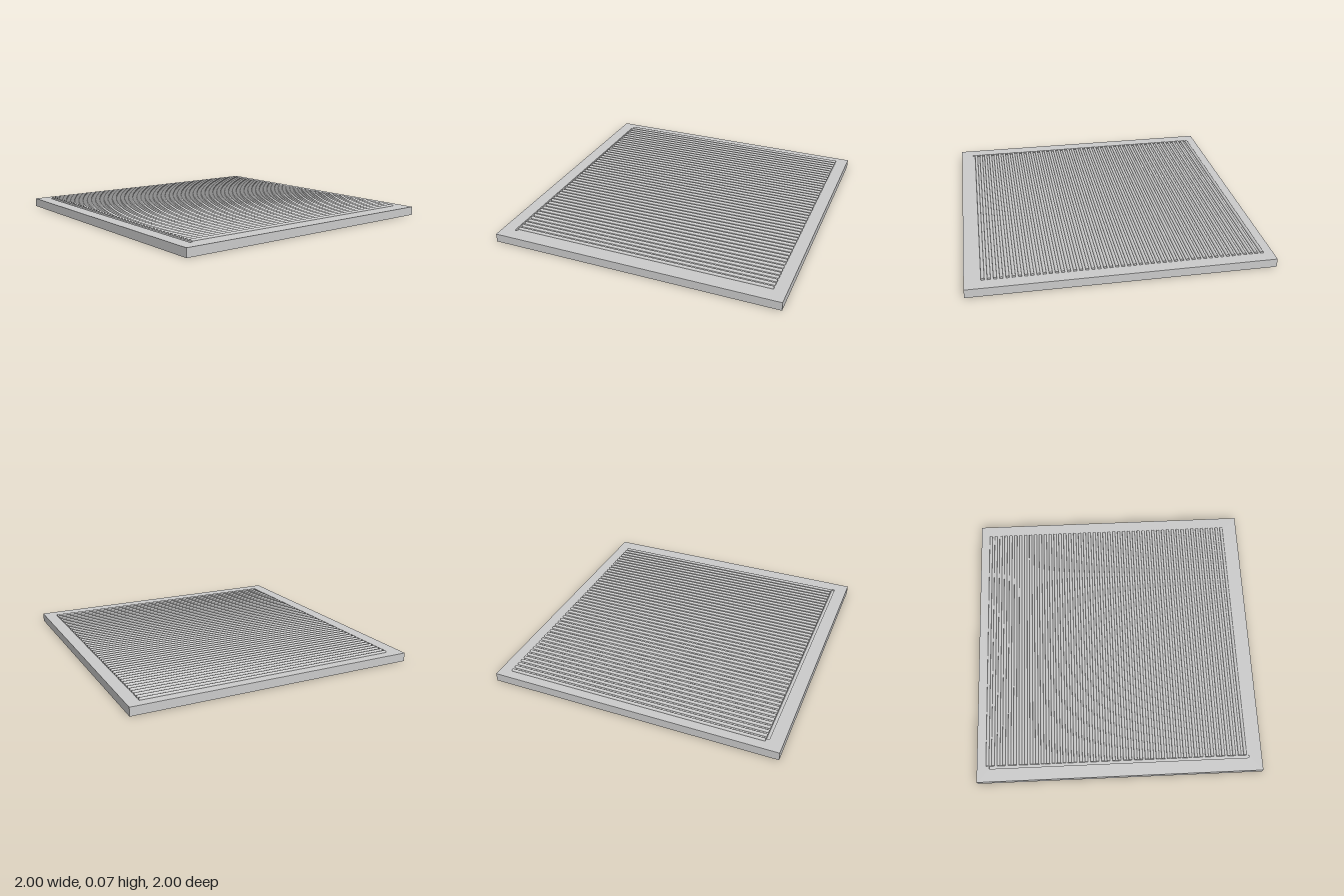
import * as THREE from 'three';

const mat = new THREE.MeshStandardMaterial({ color: 0xcccccc });
const TOP = 0.059;

function add(group, geometry, name) {
  const mesh = new THREE.Mesh(geometry, mat);
  mesh.name = name;
  group.add(mesh);
  return mesh;
}

// Box without its top face; inward = true turns the walls to face inside
function openBox(w, h, d, inward) {
  const g = new THREE.BoxGeometry(w, h, d);
  const kept = Array.from(g.index.array).filter((_, i) => i < 12 || i >= 18);
  g.setIndex(inward ? kept.reverse() : kept);
  g.clearGroups();
  g.computeVertexNormals();
  return g;
}

function rectangle(path, x0, y0, x1, y1) {
  path.moveTo(x0, y0).lineTo(x1, y0).lineTo(x1, y1).lineTo(x0, y1).closePath();
  return path;
}

export function createModel() {
  const model = new THREE.Group();
  model.name = 'ribbedBoard';

  // Square board: sides and underside
  add(model, openBox(2, TOP, 2, false), 'board').position.y = TOP / 2;

  // Board top with a slot for the shallow groove
  const face = rectangle(new THREE.Shape(), -1, -1, 1, 1);
  face.holes.push(rectangle(new THREE.Path(), -0.91, -0.91, -0.89, 0.914));
  add(model, new THREE.ShapeGeometry(face).rotateX(-Math.PI / 2), 'boardTop').position.y = TOP;

  // Groove along the ends of the ribs
  const depth = 0.01;
  add(model, openBox(0.02, depth, 1.824, true), 'groove')
    .position.set(-0.9, TOP - depth / 2, -0.002);

  // Parallel round ribs, half sunk into the board
  const ribs = new THREE.Group();
  ribs.name = 'ribs';
  model.add(ribs);
  const count = 48, zBack = -0.926, zFront = 0.883;
  const x0 = -0.89, x1 = 0.915;
  const rib = new THREE.CylinderGeometry(0.011, 0.011, x1 - x0, 16).rotateZ(Math.PI / 2);
  for (let i = 0; i < count; i++) {
    const z = zBack + (zFront - zBack) * i / (count - 1);
    add(ribs, rib, 'rib').position.set((x0 + x1) / 2, 0.061, z);
  }
  return model;
}
